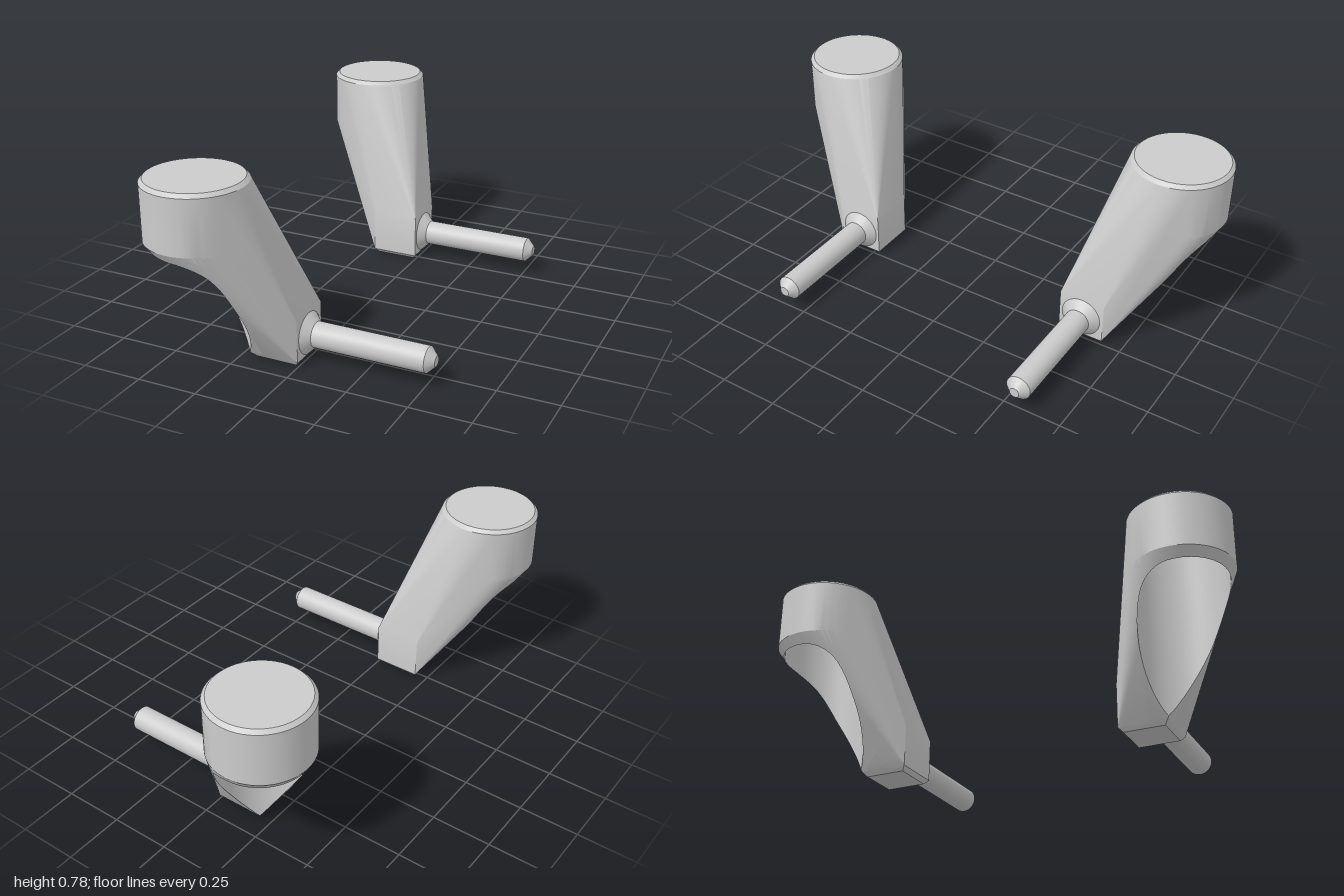
import * as THREE from 'three';
import { toCreasedNormals } from 'three/addons/utils/BufferGeometryUtils.js';
import { ConvexGeometry } from 'three/addons/geometries/ConvexGeometry.js';

const N = 64;                                   // sides of the round parts
const HX = -0.335, HZ = 0.795, HR = 0.205;      // head axis and radius
const BX = [-0.205, 0], BZ = [0.465, 0.665];    // square foot
const BORE = 0.178, BORE_TOP = 0.75;            // bore opening downwards under the head
const V = (x, y, z) => new THREE.Vector3(x, y, z);

function crease(geo) {
  geo.scale(100, 100, 100);
  const out = toCreasedNormals(geo, 0.35);
  return out.scale(0.01, 0.01, 0.01);
}

// part of a convex polygon where f >= 0
function clip(poly, f) {
  const out = [];
  poly.forEach((a, i) => {
    const b = poly[(i + 1) % poly.length], fa = f(a), fb = f(b);
    if (fa >= 0) out.push(a);
    if ((fa > 0 && fb < 0) || (fa < 0 && fb > 0)) out.push(a.clone().lerp(b, fa / (fa - fb)));
  });
  return out;
}

function fromTriangles(tris) {
  const geo = new THREE.BufferGeometry();
  const flat = tris.flatMap(t => t.flatMap(p => [p.x, p.y, p.z]));
  geo.setAttribute('position', new THREE.Float32BufferAttribute(flat, 3));
  geo.computeVertexNormals();
  return geo;
}

// round head blended to the square foot: the hull of both
function hullTriangles(s) {
  const pts = [];
  for (const [y, r] of [[0.54, HR], [0.765, HR], [0.78, HR - 0.015]])
    for (let i = 0; i < N; i++) {
      const a = i / N * Math.PI * 2;
      pts.push(V(HX + r * Math.cos(a), y, s * HZ + r * Math.sin(a)));
    }
  for (const [y, c] of [[0, 0.016], [0.018, 0], [0.195, 0]])
    for (const i of [0, 1]) for (const j of [0, 1])
      pts.push(V(BX[i] + (i ? -c : c), y, s * (BZ[j] + (j ? -c : c))));
  const p = new ConvexGeometry(pts).getAttribute('position');
  const tris = [];
  for (let i = 0; i < p.count; i += 3)
    tris.push([0, 1, 2].map(k => new THREE.Vector3().fromBufferAttribute(p, i + k)));
  return tris;
}

function makeFoot(s, mat, thin) {
  const g = new THREE.Group();
  const add = (name, geo, m = mat) => {
    const mesh = new THREE.Mesh(geo, m);
    mesh.name = name;
    g.add(mesh);
    return mesh;
  };
  const hull = hullTriangles(s), shell = [], planes = [];

  // cut the bore out of the sloping underside
  const addPoly = poly => {
    for (let k = 1; k + 1 < poly.length; k++) {
      const t = [poly[0], poly[k], poly[k + 1]];
      if (new THREE.Triangle(...t).getArea() > 1e-9) shell.push(t);
    }
  };
  for (const tri of hull) {
    const t = new THREE.Triangle(...tri);
    if (t.getArea() < 1e-8) continue;
    const n = t.getNormal(new THREE.Vector3());
    if (n.y > -0.01) { shell.push(tri); continue; }
    planes.push({ n, d: n.dot(tri[0]) });
    let rest = tri;
    for (let i = 0; i < N && rest.length > 2; i++) {
      const m = (i + 0.5) / N * Math.PI * 2, d = BORE * Math.cos(Math.PI / N);
      const f = p => Math.cos(m) * (p.x - HX) + Math.sin(m) * (p.z - s * HZ) - d;
      addPoly(clip(rest, f));
      rest = clip(rest, p => -f(p));
    }
  }
  add('body', crease(fromTriangles(shell)));

  // bore wall, from the underside up to its ceiling
  const rim = i => {
    const a = (i % N) / N * Math.PI * 2;
    const x = HX + BORE * Math.cos(a), z = s * HZ + BORE * Math.sin(a);
    const y = Math.max(...planes.map(({ n, d }) => (d - n.x * x - n.z * z) / n.y));
    return [V(x, y, z), V(x, BORE_TOP, z)];
  };
  const wall = [];
  for (let i = 0; i < N; i++) {
    const [a, b] = rim(i), [c, d] = rim(i + 1);
    wall.push([a, c, b], [c, d, b]);
  }
  add('boreWall', crease(fromTriangles(wall)), thin);
  const ceiling = add('boreCeiling', new THREE.CircleGeometry(BORE, N), thin);
  ceiling.rotation.x = Math.PI / 2;
  ceiling.position.set(HX, BORE_TOP, s * HZ);

  // pin with flared collar and chamfered tip
  const profile = [[0, -0.01], [0.087, -0.01], [0.087, 0], [0.053, 0.033], [0.053, 0.503], [0.021, 0.535], [0, 0.535]]
    .map(([r, y]) => new THREE.Vector2(r, y));
  const pin = add('pin', crease(new THREE.LatheGeometry(profile, 48).toNonIndexed()));
  pin.rotation.z = -Math.PI / 2;
  pin.position.set(0, 0.105, s * 0.565);
  return g;
}

export function createModel() {
  const model = new THREE.Group();
  const mat = new THREE.MeshStandardMaterial({ color: 0xcccccc });
  const thin = new THREE.MeshStandardMaterial({ color: 0xcccccc, side: THREE.DoubleSide });
  for (const [s, name] of [[1, 'frontFoot'], [-1, 'backFoot']]) {
    const foot = makeFoot(s, mat, thin);
    foot.name = name;
    model.add(foot);
  }
  return model;
}
